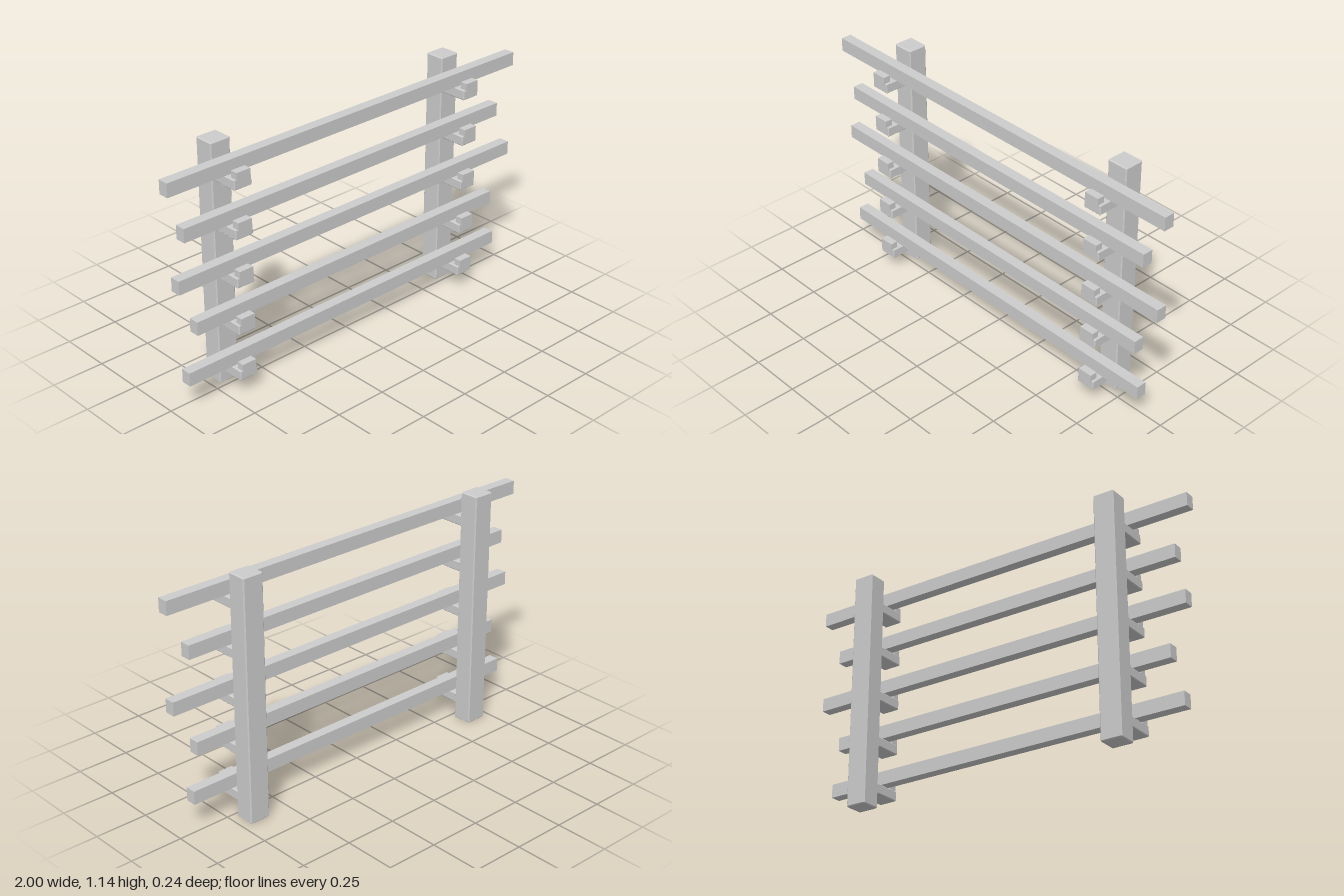
import * as THREE from 'three';
import { ConvexGeometry } from 'three/addons/geometries/ConvexGeometry.js';

// Box with flat chamfers: each corner is split into three points, one per face
function chamferBox(size, c) {
  const points = [];
  for (const sx of [-1, 1]) for (const sy of [-1, 1]) for (const sz of [-1, 1]) {
    for (let face = 0; face < 3; face++) {
      const half = size.map((s, axis) => s / 2 - (axis === face ? 0 : c));
      points.push(new THREE.Vector3(sx * half[0], sy * half[1], sz * half[2]));
    }
  }
  return new ConvexGeometry(points);
}

export function createModel() {
  const rack = new THREE.Group();
  rack.name = 'wallRack';
  const grey = new THREE.MeshStandardMaterial({ color: 0xcccccc });
  grey.name = 'lightGrey';

  // Box from its limits on each axis, with an optional chamfer
  function block(name, [x0, x1], [y0, y1], [z0, z1], chamfer = 0) {
    const size = [x1 - x0, y1 - y0, z1 - z0];
    const geometry = chamfer ? chamferBox(size, chamfer) : new THREE.BoxGeometry(...size);
    const mesh = new THREE.Mesh(geometry, grey);
    mesh.name = name;
    mesh.position.set((x0 + x1) / 2, (y0 + y1) / 2, (z0 + z1) / 2);
    rack.add(mesh);
  }

  // Right and left ends of each rail, bottom to top
  const rails = [[-0.938, 0.912], [-0.885, 0.883], [-0.968, 0.993], [-0.93, 0.902], [-1, 1]];
  const posts = [['right', -0.664], ['left', 0.662]];

  // Upright posts
  for (const [side, x] of posts) {
    block(side + 'Post', [x - 0.051, x + 0.051], [0, 1.143], [-0.117, -0.023], 0.005);
  }

  rails.forEach((ends, i) => {
    const y = 0.075 + i * 0.2255;
    // Horizontal rail
    block('rail' + (i + 1), ends, [y + 0.049, y + 0.113], [0.01, 0.06]);
    // Bracket arm with a raised lip at its front end
    for (const [side, x] of posts) {
      block(side + 'Bracket' + (i + 1), [x - 0.046, x + 0.046], [y, y + 0.048], [-0.03, 0.114], 0.004);
      block(side + 'Lip' + (i + 1), [x - 0.036, x + 0.036], [y + 0.04, y + 0.079], [0.084, 0.119]);
    }
  });

  return rack;
}
